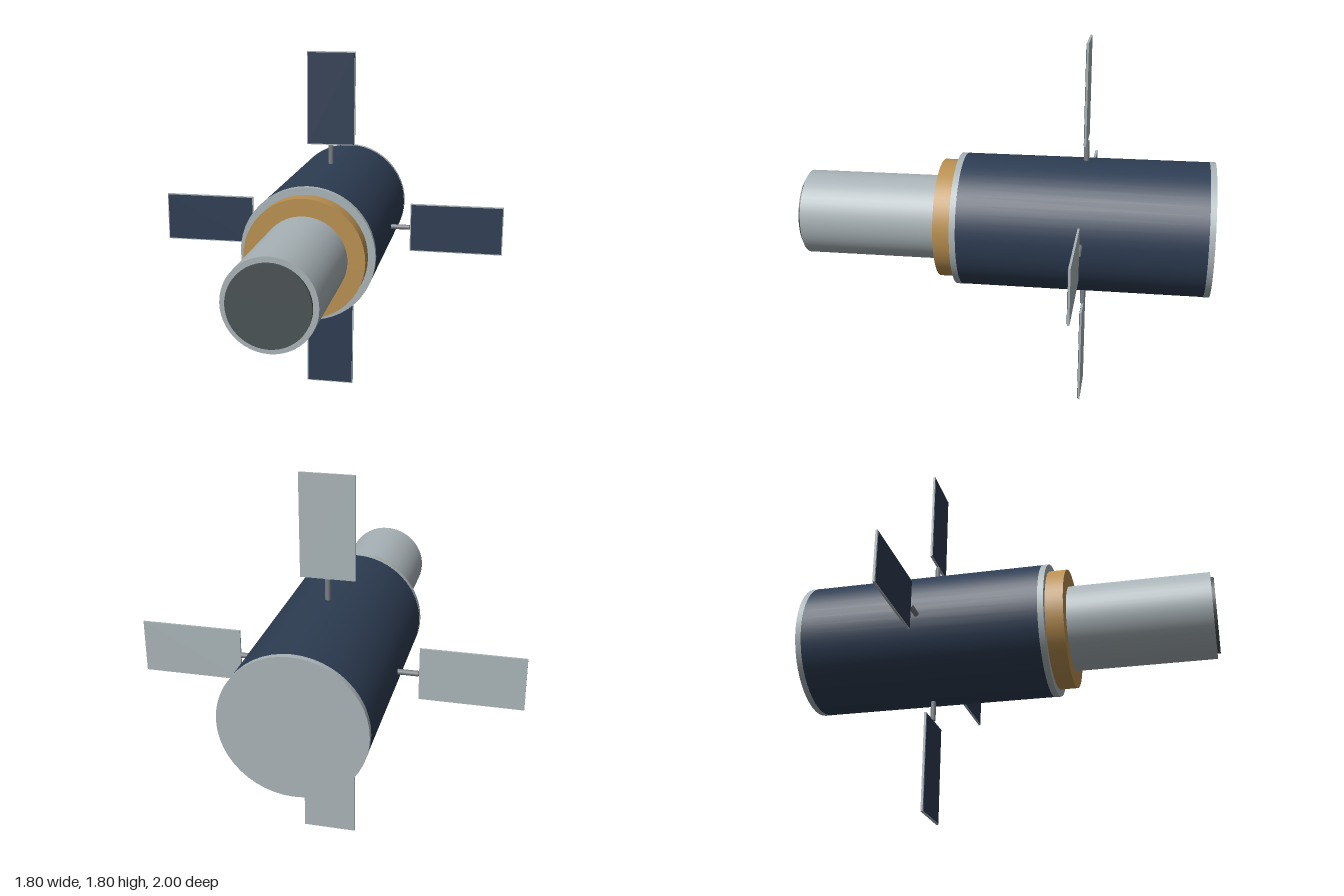
import * as THREE from 'three';

const material = (name, color) => {
  const m = new THREE.MeshStandardMaterial({ color });
  m.name = name;
  return m;
};

export function createModel() {
  const silver = material('silver', 0xa8b2b6);
  const navy = material('navy', 0x2d3c52);
  const gold = material('gold', 0xb88f50);
  const charcoal = material('charcoal', 0x4a5253);
  const steel = material('steel', 0x7a7e82);

  const model = new THREE.Group();
  model.name = 'satellite';
  const AXIS_Y = 0.9;

  const add = (parent, name, geometry, mat) => {
    const mesh = new THREE.Mesh(geometry, mat);
    mesh.name = name;
    parent.add(mesh);
    return mesh;
  };

  // Cylinder lying along z between two depths
  const drum = (name, radius, z0, z1, mat, open = false) => {
    const g = new THREE.CylinderGeometry(radius, radius, z1 - z0, 48, 1, open);
    g.rotateX(Math.PI / 2);
    g.translate(0, AXIS_Y, (z0 + z1) / 2);
    return add(model, name, g, mat);
  };

  // Main body with a silver rim at each end
  drum('rearRim', 0.325, -1, -0.972, silver);
  drum('bodySleeve', 0.324, -0.972, 0.193, navy, true);
  drum('frontRim', 0.325, 0.193, 0.222, silver);

  // Collar, barrel and dark front cap
  drum('collar', 0.29, 0.222, 0.308, gold);
  drum('barrel', 0.207, 0.308, 0.985, silver);
  drum('frontCap', 0.182, 0.985, 1, charcoal);

  // Four paddles around the body, each on a short arm
  for (let i = 0; i < 4; i++) {
    const paddle = new THREE.Group();
    paddle.name = 'paddle' + (i + 1);
    paddle.position.set(0, AXIS_Y, -0.39);
    paddle.rotation.z = (i * Math.PI) / 2;

    const arm = new THREE.CylinderGeometry(0.013, 0.013, 0.12, 12);
    add(paddle, 'arm', arm, steel).position.y = 0.36;

    const panel = new THREE.BoxGeometry(0.252, 0.478, 0.01);
    add(paddle, 'panelFrame', panel, silver).position.y = 0.661;

    const cells = new THREE.BoxGeometry(0.242, 0.468, 0.002);
    add(paddle, 'solarCells', cells, navy).position.set(0, 0.661, 0.006);
    model.add(paddle);
  }
  return model;
}
